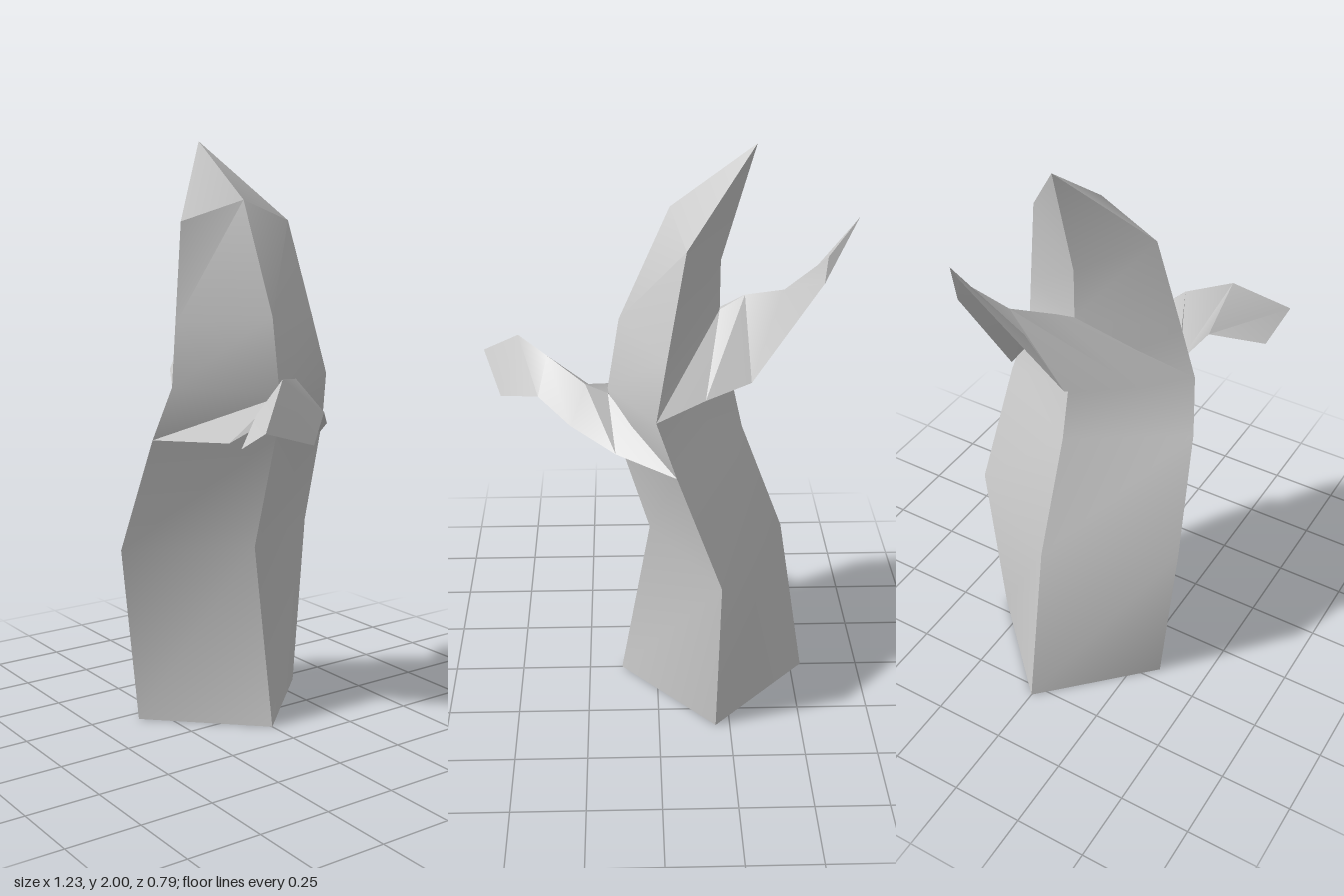
import * as THREE from 'three';
import { toCreasedNormals } from 'three/addons/utils/BufferGeometryUtils.js';

// Skin rows of points with quads; closed rows wrap around
function skin(rows, closed) {
  const n = rows[0].length, pos = [], idx = [];
  rows.forEach(row => row.forEach(p => pos.push(...p)));
  for (let i = 0; i < rows.length - 1; i++) {
    for (let j = 0; j < (closed ? n : n - 1); j++) {
      const k = (j + 1) % n;
      const a = i * n + j, b = i * n + k, c = a + n, d = b + n;
      idx.push(a, b, d, a, d, c);
    }
  }
  if (closed) idx.push(0, 2, 1, 0, 3, 2); // base cap
  const g = new THREE.BufferGeometry();
  g.setAttribute('position', new THREE.Float32BufferAttribute(pos, 3));
  g.setIndex(idx);
  return toCreasedNormals(g, 0.5);
}

export function createModel() {
  const group = new THREE.Group();
  const solid = new THREE.MeshStandardMaterial({ color: 0xcccccc });
  const thin = new THREE.MeshStandardMaterial({ color: 0xcccccc, side: THREE.DoubleSide });

  const add = (name, geometry, material) => {
    const mesh = new THREE.Mesh(geometry, material);
    mesh.name = name;
    group.add(mesh);
  };

  // Stem: diamond sections as left ridge [x,y], side corners [x,y,z], right ridge [x,y]
  const sections = [
    [[-0.54, 0], [-0.2, 0, 0.34], [0.13, 0]],
    [[-0.44, 0.62], [-0.205, 0.62, 0.397], [0.025, 0.62]],
    [[-0.29, 1.02], [-0.055, 1.02, 0.357], [0.145, 1.02]],
    [[-0.245, 1.22], [0.01, 1.2, 0.32], [0.165, 1.17]],
    [[-0.205, 1.45], [-0.025, 1.4, 0.283], [0.125, 1.42]],
    [[-0.205, 1.62], [-0.085, 1.73, 0.22], [-0.04, 1.8]],
    [[-0.31, 2], [-0.31, 2, 0], [-0.31, 2]],
  ];
  const rings = sections.map(([l, s, r]) => [
    [l[0], l[1], 0], s, [r[0], r[1], 0], [s[0], s[1], -s[2]],
  ]);
  add('stem', skin(rings, true), solid);

  // Leaves: rows of front edge, midrib, back edge, running from stem to tip
  const upTip = [-0.615, 1.81, -0.145];
  add('upperLeaf', skin([
    [[0.01, 1.2, 0.32], [-0.205, 1.45, 0], [0.01, 1.2, -0.32]],
    [[-0.17, 1.235, 0.215], [-0.285, 1.505, -0.01], [-0.15, 1.235, -0.235]],
    [[-0.35, 1.275, 0.05], [-0.4, 1.56, -0.105], [-0.3, 1.27, -0.18]],
    [[-0.455, 1.53, -0.015], [-0.52, 1.7, -0.19], [-0.51, 1.62, -0.21]],
    [upTip, upTip, upTip],
  ], false), thin);

  const lowTip = [0.615, 1.14, 0.385];
  add('lowerLeaf', skin([
    [[-0.055, 1.02, 0.357], [0.165, 1.15, 0], [-0.055, 1.02, -0.357]],
    [[0.14, 1.02, 0.185], [0.24, 1.185, 0], [0.14, 1.02, -0.19]],
    [[0.22, 1.07, 0.155], [0.37, 1.25, 0.09], [0.29, 1.08, -0.1]],
    [[0.325, 1.14, 0.21], [0.475, 1.27, 0.22], [0.4, 1.14, 0]],
    [[0.465, 1.07, 0.365], lowTip, [0.54, 1.07, 0.15]],
  ], false), thin);

  return group;
}
